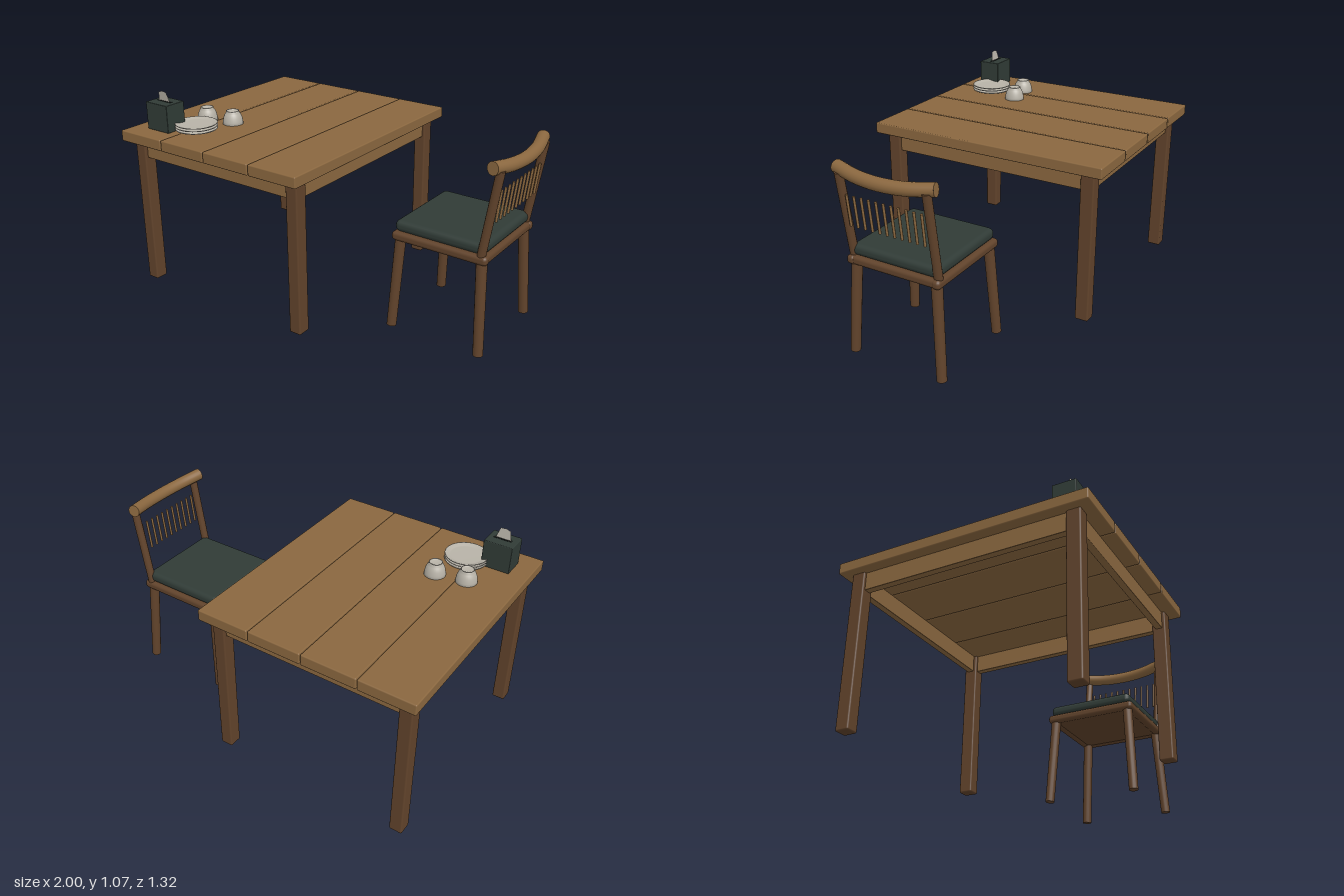
import * as THREE from 'three';
import { RoundedBoxGeometry } from 'three/addons/geometries/RoundedBoxGeometry.js';

const material = (name, color, side = THREE.FrontSide) =>
  Object.assign(new THREE.MeshStandardMaterial({ color, side }), { name });

export function createModel() {
  const lightWood = material('lightWood', 0x8a673f);
  const darkWood = material('darkWood', 0x61432b);
  const darkGreen = material('darkGreen', 0x303b36);
  const slotBlack = material('slotBlack', 0x171b19);
  const ceramic = material('ceramic', 0xb7b2a7, THREE.DoubleSide);

  const model = new THREE.Group();
  const group = (name, parent = model) => {
    const g = new THREE.Group();
    g.name = name;
    parent.add(g);
    return g;
  };
  const add = (parent, name, geometry, mat, x = 0, y = 0, z = 0) => {
    const mesh = new THREE.Mesh(geometry, mat);
    mesh.name = name;
    mesh.position.set(x, y, z);
    parent.add(mesh);
    return mesh;
  };
  // Rounded box given by its lower and upper corners
  const block = (parent, name, mat, [x0, y0, z0], [x1, y1, z1], r) =>
    add(parent, name, new RoundedBoxGeometry(x1 - x0, y1 - y0, z1 - z0, 2, r), mat,
      (x0 + x1) / 2, (y0 + y1) / 2, (z0 + z1) / 2);
  // Round rod between two points
  const rod = (parent, name, mat, from, to, rFrom, rTo = rFrom, sides = 16) => {
    const a = new THREE.Vector3(...from), b = new THREE.Vector3(...to);
    const dir = b.clone().sub(a);
    const mesh = add(parent, name, new THREE.CylinderGeometry(rTo, rFrom, dir.length(), sides), mat);
    mesh.position.copy(a).add(b).multiplyScalar(0.5);
    mesh.quaternion.setFromUnitVectors(new THREE.Vector3(0, 1, 0), dir.normalize());
    return mesh;
  };
  const lathe = (points) =>
    new THREE.LatheGeometry(points.map(([x, y]) => new THREE.Vector2(x, y)), 32);

  // Table: four planks, square legs and an apron between them
  const table = group('table');
  for (let i = 0; i < 4; i++) {
    const x = -1 + i * 0.2895;
    block(table, 'tablePlank', lightWood, [x, 0.808, -0.66], [x + 0.2845, 0.866, 0.66], 0.006);
  }
  for (const x of [-0.9275, 0.0825]) {
    for (const z of [-0.57, 0.57]) {
      block(table, 'tableLeg', darkWood, [x - 0.0335, 0.003, z - 0.036], [x + 0.0335, 0.81, z + 0.036], 0.008);
    }
    block(table, 'sideApron', lightWood, [x - 0.018, 0.715, -0.55], [x + 0.018, 0.81, 0.55], 0.003);
  }
  for (const z of [-0.57, 0.57]) {
    block(table, 'endApron', lightWood, [-0.91, 0.715, z - 0.018], [0.065, 0.81, z + 0.018], 0.003);
  }

  // Chair seat: frame bars, base panel and cushion
  const chair = group('chair');
  for (const s of [-1, 1]) {
    block(chair, 'seatSideBar', darkWood,
      [0.41, 0.473, s * 0.235 - 0.023], [0.92, 0.519, s * 0.235 + 0.023], 0.018);
    const x = s < 0 ? 0.433 : 0.893;
    block(chair, 'seatCrossBar', darkWood, [x - 0.023, 0.473, -0.258], [x + 0.023, 0.519, 0.258], 0.018);
  }
  block(chair, 'seatPanel', darkWood, [0.43, 0.48, -0.235], [0.9, 0.515, 0.235], 0.004);
  block(chair, 'cushion', darkGreen, [0.418, 0.515, -0.242], [0.902, 0.574, 0.242], 0.026);

  // Splayed legs and leaning back posts
  for (const s of [-1, 1]) {
    rod(chair, 'frontChairLeg', darkWood, [0.42, 0.003, s * 0.25], [0.446, 0.49, s * 0.222], 0.025, 0.027);
    rod(chair, 'backChairLeg', darkWood, [0.906, 0.003, s * 0.25], [0.882, 0.49, s * 0.222], 0.025, 0.027);
    rod(chair, 'backPost', darkWood, [0.881, 0.5, s * 0.233], [0.951, 0.945, s * 0.233], 0.021);
  }

  // Bowed crest rail with flat ends
  const railCurve = new THREE.CatmullRomCurve3(
    [-1, -0.5, 0, 0.5, 1].map((t) =>
      new THREE.Vector3(0.965 - 0.04 * t * t, 0.939 + 0.019 * t * t, 0.264 * t)));
  add(chair, 'crestRail', new THREE.TubeGeometry(railCurve, 32, 0.032, 20), lightWood);
  for (const t of [0, 1]) {
    const cap = add(chair, 'crestRailEnd', new THREE.CircleGeometry(0.032, 20), lightWood);
    const out = railCurve.getTangentAt(t).multiplyScalar(t ? 1 : -1);
    cap.position.copy(railCurve.getPointAt(t));
    cap.quaternion.setFromUnitVectors(new THREE.Vector3(0, 0, 1), out);
  }

  // Row of thin back spindles
  for (let i = -5; i <= 5; i++) {
    rod(chair, 'spindle', lightWood, [0.929, 0.684, i * 0.0402], [0.947, 0.842, i * 0.0402], 0.0065, 0.0065, 8);
  }

  // Stack of three plates
  const plates = group('plates');
  const plateShape = lathe([[0, 0], [0.07, 0], [0.108, 0.012], [0.11, 0.015], [0.106, 0.016],
    [0.085, 0.009], [0.08, 0.007], [0, 0.007]]);
  for (let i = 0; i < 3; i++) add(plates, 'plate', plateShape, ceramic, -0.678, 0.866 + i * 0.0135, 0.435);

  // Upturned cups with a foot ring
  const cups = group('cups');
  const cupShape = lathe([[0.049, 0.003], [0.049, 0], [0.054, 0], [0.053, 0.014], [0.049, 0.035],
    [0.041, 0.054], [0.034, 0.061], [0.034, 0.07], [0.029, 0.07], [0.028, 0.063], [0, 0.063]]);
  for (const [x, z] of [[-0.762, 0.268], [-0.606, 0.238]]) add(cups, 'cup', cupShape, ceramic, x, 0.866, z);

  // Tissue box with slot and a tissue sheet
  const tissueBox = group('tissueBox');
  block(tissueBox, 'box', darkGreen, [-0.905, 0.866, 0.439], [-0.755, 1.012, 0.561], 0.004);
  add(tissueBox, 'slot', new THREE.BoxGeometry(0.095, 0.003, 0.016), slotBlack, -0.83, 1.012, 0.5);
  const sheet = new THREE.Shape([[-0.043, -0.01], [0.043, -0.01], [0.024, 0.053], [-0.004, 0.056], [-0.03, 0.048]]
    .map(([x, y]) => new THREE.Vector2(x, y)));
  const tissue = add(tissueBox, 'tissue', new THREE.ShapeGeometry(sheet), ceramic, -0.83, 1.012, 0.501);
  tissue.rotation.x = 0.16;

  return model;
}
